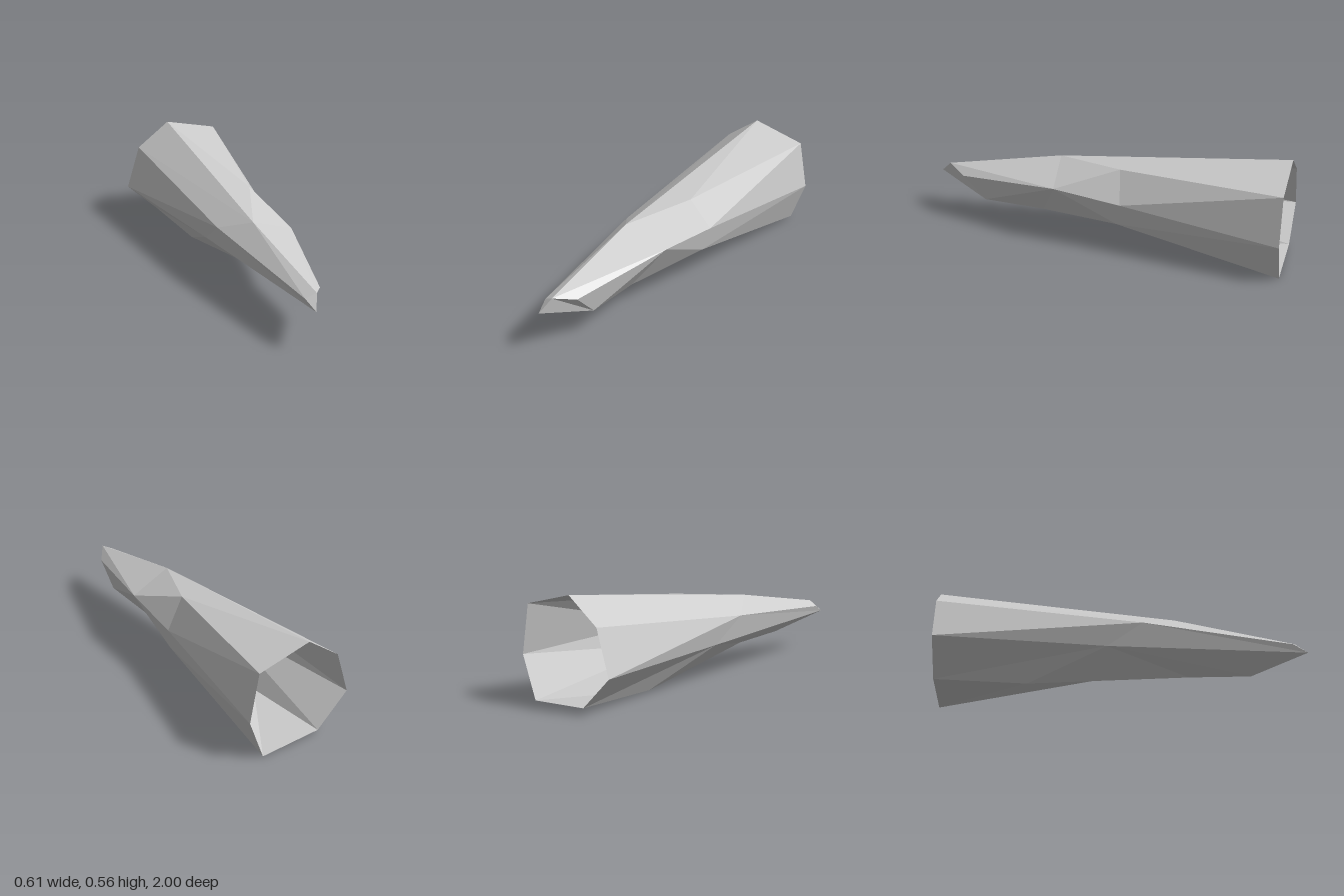
import * as THREE from 'three';

// Faceted, tapering shard: a loft through seven-sided sections, open at the wide rear end.
export function createModel() {
  const group = new THREE.Group();
  group.name = 'shard';
  const stone = new THREE.MeshStandardMaterial({ color: 0xcccccc, side: THREE.DoubleSide });
  stone.name = 'grey stone';
  stone.flatShading = true;

  // Corners shared by several sections
  const top = [-0.08, 0.412, 0.28], side = [0.16, 0.323, 0.25], keel = [0.013, 0.115, 0.36];
  const lowFlank = [-0.192, 0.2, -0.09], highFlank = [-0.205, 0.335, 0.1];
  const chin = [0.02, 0.13, 0.7], brow = [0.02, 0.26, 0.83];

  // Sections from rear to tip; a repeated corner merges two sides
  const sections = [
    [[-0.04, 0.567, -1], [0.26, 0.493, -1], [0.307, 0.228, -1], [0.22, 0.002, -1],
      [-0.128, 0.022, -1], [-0.307, 0.192, -1], [-0.229, 0.432, -1]],
    [top, [0.08, 0.448, -0.1], [0.19, 0.29, -0.13], [0.157, 0.16, -0.1],
      [-0.1, 0.016, -0.51], lowFlank, highFlank],
    [top, side, side, keel, keel, lowFlank, highFlank],
    [top, side, side, chin, chin, lowFlank, highFlank],
    [[-0.055, 0.293, 0.935], brow, brow, chin, chin, [-0.09, 0.227, 1], [-0.11, 0.266, 0.92]],
  ];

  const positions = [];
  const tri = (a, b, c) => {
    if (a !== b && b !== c && c !== a) positions.push(...a, ...b, ...c);
  };

  // Side facets between neighbouring sections
  for (let k = 0; k < sections.length - 1; k++) {
    const cur = sections[k], next = sections[k + 1];
    for (let i = 0; i < 7; i++) {
      const j = (i + 1) % 7;
      const p = cur[i], q = cur[j], r = next[j], s = next[i];
      if (k === 0) {
        tri(p, r, q);
        tri(p, s, r);
      } else {
        tri(p, s, q);
        tri(q, s, r);
      }
    }
  }

  // Facets closing the tip
  const tip = sections[sections.length - 1];
  for (let i = 1; i < 6; i++) tri(tip[0], tip[i + 1], tip[i]);

  const geometry = new THREE.BufferGeometry();
  geometry.setAttribute('position', new THREE.Float32BufferAttribute(positions, 3));
  geometry.computeVertexNormals();
  const shell = new THREE.Mesh(geometry, stone);
  shell.name = 'shardShell';
  group.add(shell);
  return group;
}
